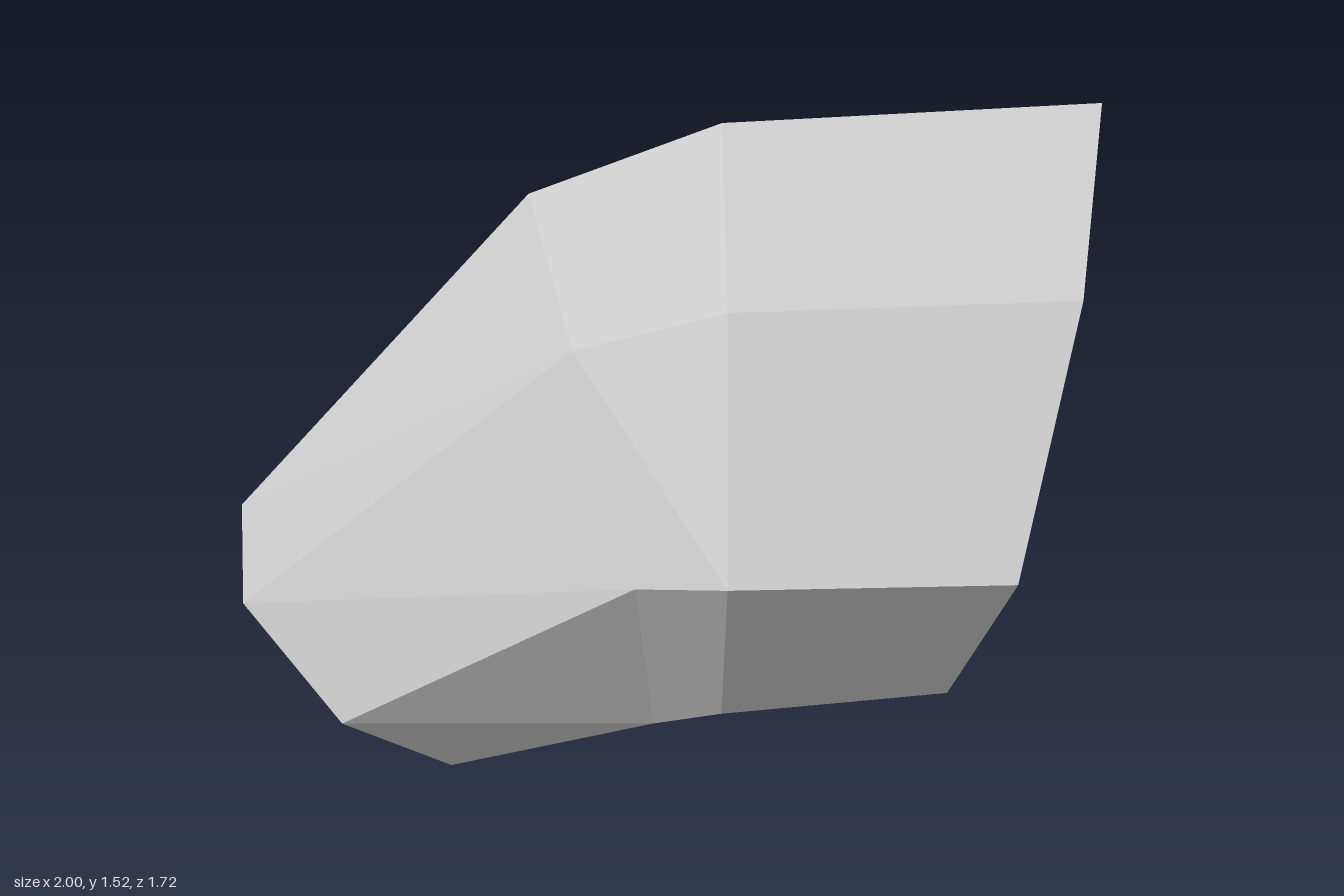
import * as THREE from 'three';

// Seven-sided cross-sections, from the small closed end to the wide open mouth
const sections = [
  [[-1, 0.46, 0.45], [-0.82, 0.43, 0.78], [-0.53, 0.24, 0.855], [-0.38, 0.05, 0.62],
    [-0.46, 0, 0.27], [-0.7, 0.125, 0.05], [-0.94, 0.32, 0.12]],
  [[-0.44, 1.265, 0.145], [-0.07, 1.22, 0.63], [0.19, 0.775, 0.82], [0.12, 0.29, 0.6],
    [-0.18, 0.14, 0.12], [-0.45, 0.37, -0.24], [-0.6, 0.88, -0.24]],
  [[-0.04, 1.475, -0.02], [0.28, 1.375, 0.55], [0.43, 0.845, 0.83], [0.28, 0.35, 0.58],
    [0, 0.235, 0.04], [-0.31, 0.545, -0.4], [-0.32, 1.08, -0.43]],
  [[0.7, 1.52, -0.43], [0.98, 1.41, 0.18], [1, 0.86, 0.525], [0.7, 0.375, 0.3],
    [0.34, 0.27, -0.22], [0.22, 0.58, -0.74], [0.4, 1.11, -0.86]],
];

function facetedMesh(name, triangles, material) {
  const geometry = new THREE.BufferGeometry();
  geometry.setAttribute('position', new THREE.Float32BufferAttribute(triangles.flat(), 3));
  geometry.computeVertexNormals();
  const mesh = new THREE.Mesh(geometry, material);
  mesh.name = name;
  return mesh;
}

export function createModel() {
  const group = new THREE.Group();
  group.name = 'bentTube';
  const grey = new THREE.MeshStandardMaterial({ color: 0xcccccc, side: THREE.DoubleSide, flatShading: true });
  grey.name = 'light grey';
  const sides = sections[0].length;

  // Thin wall joining neighbouring cross-sections
  const wall = [];
  for (let s = 0; s < sections.length - 1; s++) {
    for (let i = 0; i < sides; i++) {
      const j = (i + 1) % sides;
      const [a, b, c, d] = [sections[s][i], sections[s][j], sections[s + 1][j], sections[s + 1][i]];
      wall.push(a, b, c, a, c, d);
    }
  }
  group.add(facetedMesh('tubeWall', wall, grey));

  // Flat cap on the small end
  const cap = [];
  const end = sections[0];
  for (let i = 1; i < sides - 1; i++) cap.push(end[0], end[i + 1], end[i]);
  group.add(facetedMesh('endCap', cap, grey));

  return group;
}
